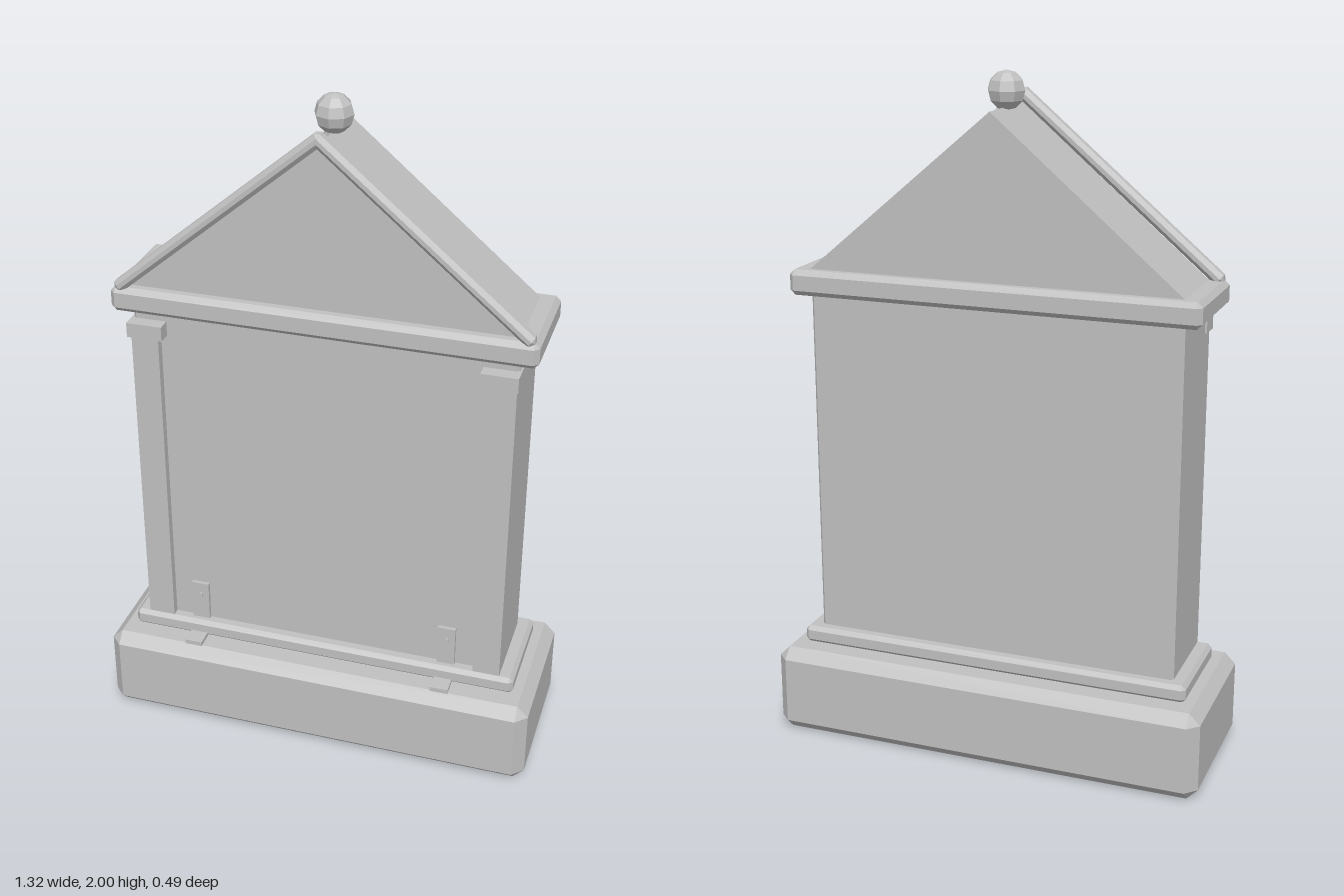
import * as THREE from 'three';
import { ConvexGeometry } from 'three/addons/geometries/ConvexGeometry.js';

// Box with chamfered edges and corners, centred on the origin
function chamferBox(w, h, d, c) {
  const pts = [];
  for (const sx of [-1, 1]) for (const sy of [-1, 1]) for (const sz of [-1, 1]) {
    const x = w / 2, y = h / 2, z = d / 2;
    pts.push(
      new THREE.Vector3(sx * x, sy * (y - c), sz * (z - c)),
      new THREE.Vector3(sx * (x - c), sy * y, sz * (z - c)),
      new THREE.Vector3(sx * (x - c), sy * (y - c), sz * z));
  }
  return new ConvexGeometry(pts);
}

export function createModel() {
  const model = new THREE.Group();
  model.name = 'gravestone';
  const stone = new THREE.MeshStandardMaterial({ color: 0xc0c0c0, flatShading: true });
  stone.name = 'grey stone';

  const add = (name, geometry, x = 0, y = 0, z = 0) => {
    const mesh = new THREE.Mesh(geometry, stone);
    mesh.name = name;
    mesh.position.set(x, y, z);
    model.add(mesh);
    return mesh;
  };
  // Block given by its limits on each axis
  const block = (name, [x0, x1], [y0, y1], [z0, z1], chamfer = 0) => {
    const size = [x1 - x0, y1 - y0, z1 - z0];
    const geo = chamfer ? chamferBox(...size, chamfer) : new THREE.BoxGeometry(...size);
    return add(name, geo, (x0 + x1) / 2, (y0 + y1) / 2, (z0 + z1) / 2);
  };

  // Stacked main blocks
  block('base', [-0.66, 0.66], [0, 0.268], [-0.246, 0.246], 0.033);
  block('plinth', [-0.6, 0.6], [0.265, 0.318], [-0.163, 0.163], 0.012);
  block('slab', [-0.556, 0.556], [0.31, 1.362], [-0.127, 0.127], 0.008);
  block('cornice', [-0.61, 0.61], [1.355, 1.43], [-0.165, 0.165], 0.015);

  // Triangular pediment
  const gable = new THREE.Shape([
    new THREE.Vector2(-0.56, 1.425),
    new THREE.Vector2(0.56, 1.425),
    new THREE.Vector2(0, 1.9),
  ]);
  add('pediment', new THREE.ExtrudeGeometry(gable, { depth: 0.26, bevelEnabled: false }), 0, 0, -0.13);

  // Sloping mouldings along the front of the pediment
  const low = new THREE.Vector2(0.585, 1.43), high = new THREE.Vector2(-0.006, 1.927);
  const run = low.clone().sub(high);
  const mid = low.clone().add(high).multiplyScalar(0.5);
  for (const side of [-1, 1]) {
    const rake = add(side > 0 ? 'leftRake' : 'rightRake',
      chamferBox(run.length() + 0.02, 0.036, 0.045, 0.012), side * mid.x, mid.y, 0.141);
    rake.rotation.z = side * Math.atan2(run.y, run.x);
  }

  // Ball finial
  add('finial', new THREE.SphereGeometry(0.055, 8, 6), 0, 1.945, 0);

  // Pilasters, capitals and angle brackets on the front
  for (const side of [-1, 1]) {
    const span = (a, b) => side > 0 ? [a, b] : [-b, -a];
    const label = side > 0 ? 'left' : 'right';
    block(label + 'Pilaster', span(0.475, 0.556), [0.315, 1.29], [0.1, 0.151]);
    block(label + 'Capital', span(0.457, 0.562), [1.283, 1.327], [0.1, 0.168]);
    block(label + 'BracketUpright', span(0.362, 0.416), [0.28, 0.445], [0.115, 0.138]);
    block(label + 'BracketFoot', span(0.362, 0.416), [0.265, 0.28], [0.115, 0.215]);
    const bolt = add(label + 'BracketBolt', new THREE.CylinderGeometry(0.008, 0.008, 0.008, 6),
      side * 0.389, 0.405, 0.14);
    bolt.rotation.x = Math.PI / 2;
  }
  return model;
}
